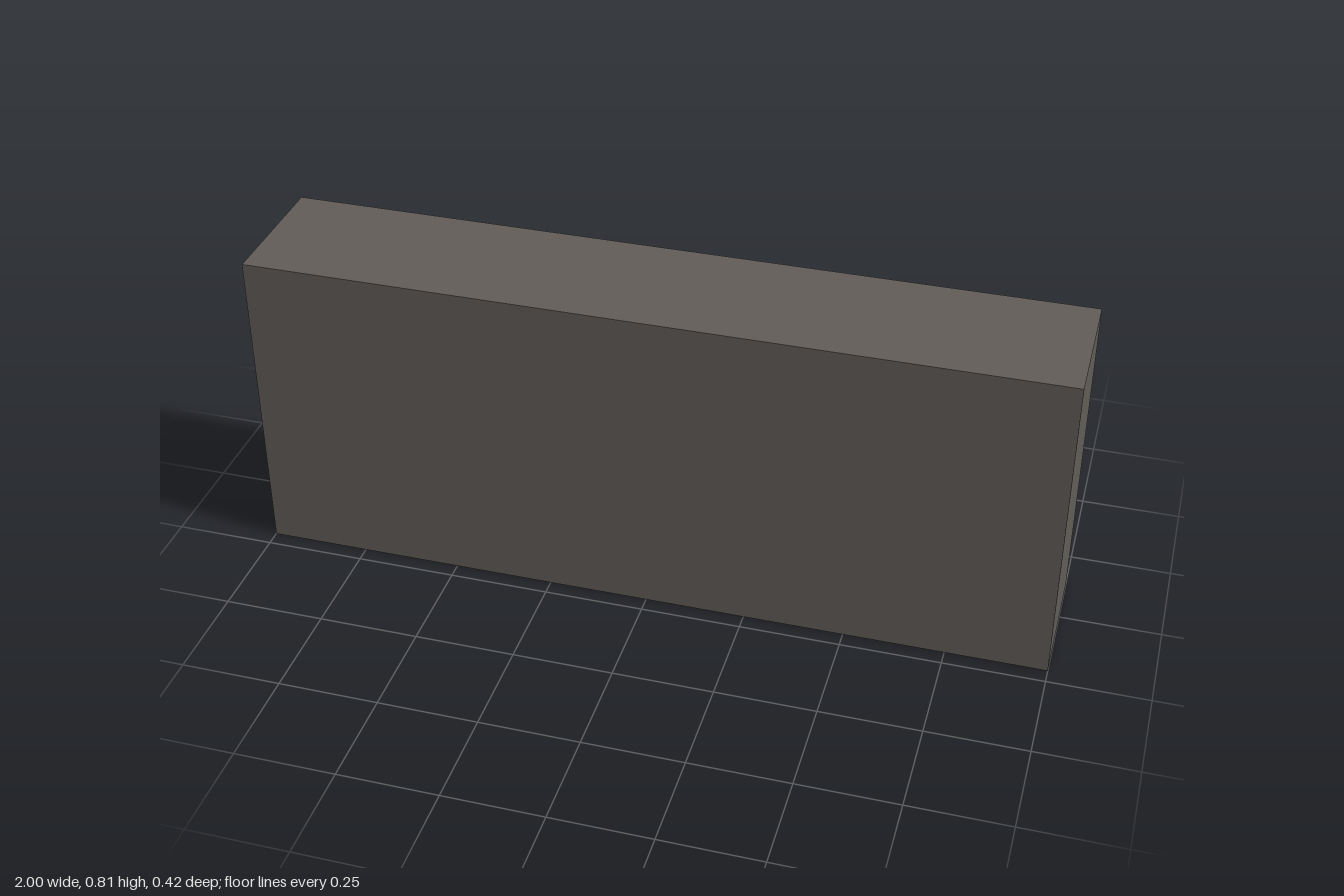
import * as THREE from 'three';

export function createModel() {
  const group = new THREE.Group();
  const material = (name, color) => {
    const m = new THREE.MeshStandardMaterial({ color });
    m.name = name;
    return m;
  };
  const addBox = (name, size, position, mat) => {
    const mesh = new THREE.Mesh(new THREE.BoxGeometry(...size), mat);
    mesh.name = name;
    mesh.position.set(...position);
    group.add(mesh);
  };

  // Main slab
  addBox('body', [2, 0.806, 0.35], [0, 0.403, 0.035], material('warm grey', 0x605b57));

  // Row of square buttons low on the back
  const buttons = [
    ['redButton', -0.675, material('red', 0xd20c0c)],
    ['blueButton', 0, material('blue', 0x0a22d2)],
    ['yellowButton', 0.675, material('yellow', 0xd2d20c)],
  ];
  for (const [name, x, mat] of buttons) {
    addBox(name, [0.272, 0.272, 0.07], [x, 0.203, -0.175], mat);
  }
  return group;
}
